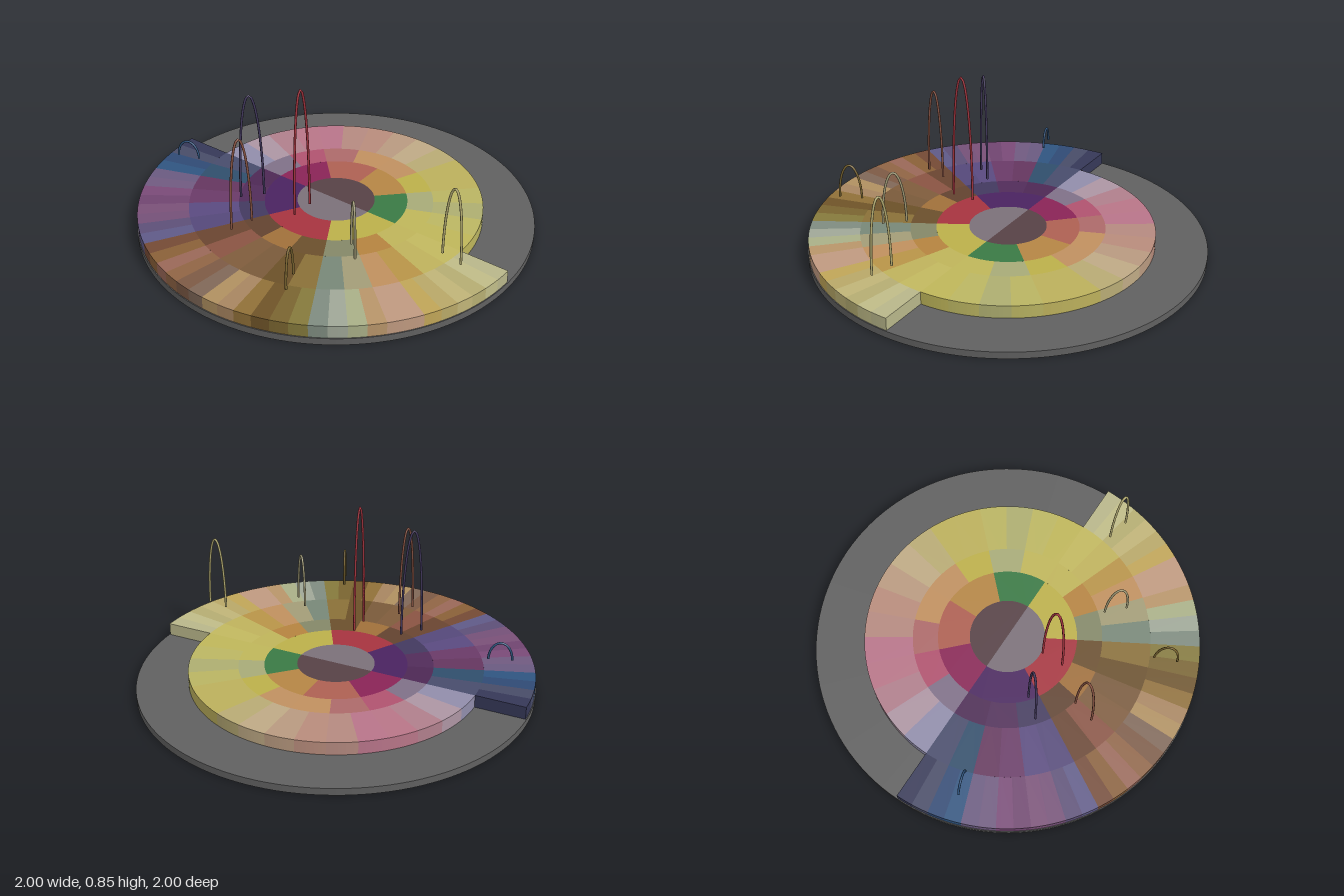
import * as THREE from 'three';

const BASE_TOP = 0.035, TILE_TOP = 0.1, ARCH_FOOT = 0.185;
const RAD = Math.PI / 180;

const paint = (color) => new THREE.MeshStandardMaterial({ color });

// Ring sector; angles in degrees run from +x towards +z
function sector(r0, r1, a0, a1) {
  const shape = new THREE.Shape();
  shape.absarc(0, 0, r1, a0 * RAD, a1 * RAD, false);
  if (r0 > 0) shape.absarc(0, 0, r0, a1 * RAD, a0 * RAD, true);
  else shape.lineTo(0, 0);
  shape.closePath();
  const geo = new THREE.ExtrudeGeometry(shape, {
    depth: TILE_TOP - BASE_TOP, bevelEnabled: false,
    curveSegments: Math.max(3, Math.ceil((a1 - a0) / 3)),
  });
  geo.rotateX(Math.PI / 2);
  geo.translate(0, TILE_TOP, 0);
  return geo;
}

// Evenly divided run of tiles, one per colour
function tileRun(name, r0, r1, from, to, colors) {
  const run = new THREE.Group();
  run.name = name;
  const step = (to - from) / colors.length;
  colors.forEach((c, i) => {
    const tile = new THREE.Mesh(sector(r0, r1, from + i * step, from + (i + 1) * step), paint(c));
    tile.name = name + 'Tile';
    run.add(tile);
  });
  return run;
}

// Thin half-ellipse hoop standing along a radius
function arch(r, angle, top, color) {
  const tube = 0.006, pts = [];
  for (let i = 0; i <= 24; i++) {
    const t = Math.PI * i / 24;
    pts.push(new THREE.Vector3(0.058 * Math.cos(t), (top - tube - ARCH_FOOT) * Math.sin(t), 0));
  }
  const path = new THREE.CatmullRomCurve3(pts);
  const mat = paint(color);
  mat.side = THREE.DoubleSide;
  const mesh = new THREE.Mesh(new THREE.TubeGeometry(path, 64, tube, 8), mat);
  mesh.name = 'arch';
  mesh.position.set(r * Math.cos(angle * RAD), ARCH_FOOT, r * Math.sin(angle * RAD));
  mesh.rotation.y = -angle * RAD;
  return mesh;
}

export function createModel() {
  const model = new THREE.Group();
  model.name = 'colorWheel';

  // Base disc
  const base = new THREE.Mesh(new THREE.CylinderGeometry(1, 1, BASE_TOP, 128), paint(0x606060));
  base.name = 'baseDisc';
  base.position.y = BASE_TOP / 2;
  model.add(base);

  // Hub and rings: front half 0-180, back half 180-360
  model.add(
    tileRun('hub', 0, 0.195, 0, 360, [0x7b7079, 0x574146]),
    tileRun('innerRingFront', 0.195, 0.36, 0, 180, [0xbcb04a, 0xa6343f, 0x4a2360]),
    tileRun('innerRingBack', 0.195, 0.36, 180, 360, [0x8a2457, 0xae6052, 0xb58645, 0x3a7a45]),
    tileRun('secondRingFront', 0.36, 0.49, 0, 180, [
      0xbfb45a, 0xb5833f, 0x848868, 0x6b4f2c, 0xa0703a, 0x62432f, 0x43395f, 0x512c5a, 0x4d2855]),
    tileRun('secondRingBack', 0.36, 0.49, 180, 360, [
      0x7f7088, 0xb0526f, 0xad6a6a, 0xc1905f, 0xc09060, 0xbcb04a, 0xa8ab78, 0xbfb65a]),
    tileRun('thirdRingFront', 0.49, 0.74, 0, 180, [
      0xc2b85f, 0xbfb25c, 0xb89448, 0xc0905e, 0xa39d78, 0x788878,
      0x8a7038, 0x6b5028, 0x7a5a3a, 0x7f5c3c, 0x8a5443, 0x6a4530,
      0x55487a, 0x5a4a80, 0x6a3a68, 0x65365f, 0x2f4e6c, 0x484c6c]),
    tileRun('thirdRingBack', 0.49, 0.74, 180, 360, [
      0x918dab, 0xad95a3, 0xb07f8c, 0xb87688, 0xb8758a, 0xb58a80, 0xb88c7c, 0xb99a80,
      0xbfaa85, 0xb8ab75, 0xbcb05c, 0xbcb05c, 0xbab462, 0xaeae70, 0xbcb662, 0xbfb65a]),
    tileRun('outerRingFront', 0.74, 0.995, 0, 180, [
      0xb8b68a, 0xc0bc88, 0xb5ad72, 0xc0b478, 0xb8a868, 0xc0a558,
      0xc09a80, 0xc09a80, 0xb8956a, 0xaab088, 0xa0a898, 0x7f8c80,
      0x857a3c, 0x7a6530, 0x6f5428, 0x907038, 0xa88560, 0xb09060,
      0x806858, 0x7d5a45, 0x906545, 0x9a6858, 0x8a6038, 0x754a35,
      0x5f5a88, 0x5d4f78, 0x755078, 0x7a5078, 0x704570, 0x7a4a78,
      0x705a80, 0x6a5a80, 0x2f5580, 0x2f4a75, 0x484c68, 0x363858]),
  );

  // Hoops floating over chosen tiles: radius, angle, top height, colour
  [
    [0.272, 90, 0.845, 0xa6343f],
    [0.423, 130, 0.75, 0x43395f],
    [0.568, 105, 0.66, 0x8a5443],
    [0.568, 45, 0.46, 0xa39d78],
    [0.815, 67.5, 0.37, 0x7a6530],
    [0.812, 12.5, 0.567, 0xb5ad72],
    [0.815, 162.5, 0.28, 0x2f5580],
  ].forEach((a) => model.add(arch(...a)));

  return model;
}
